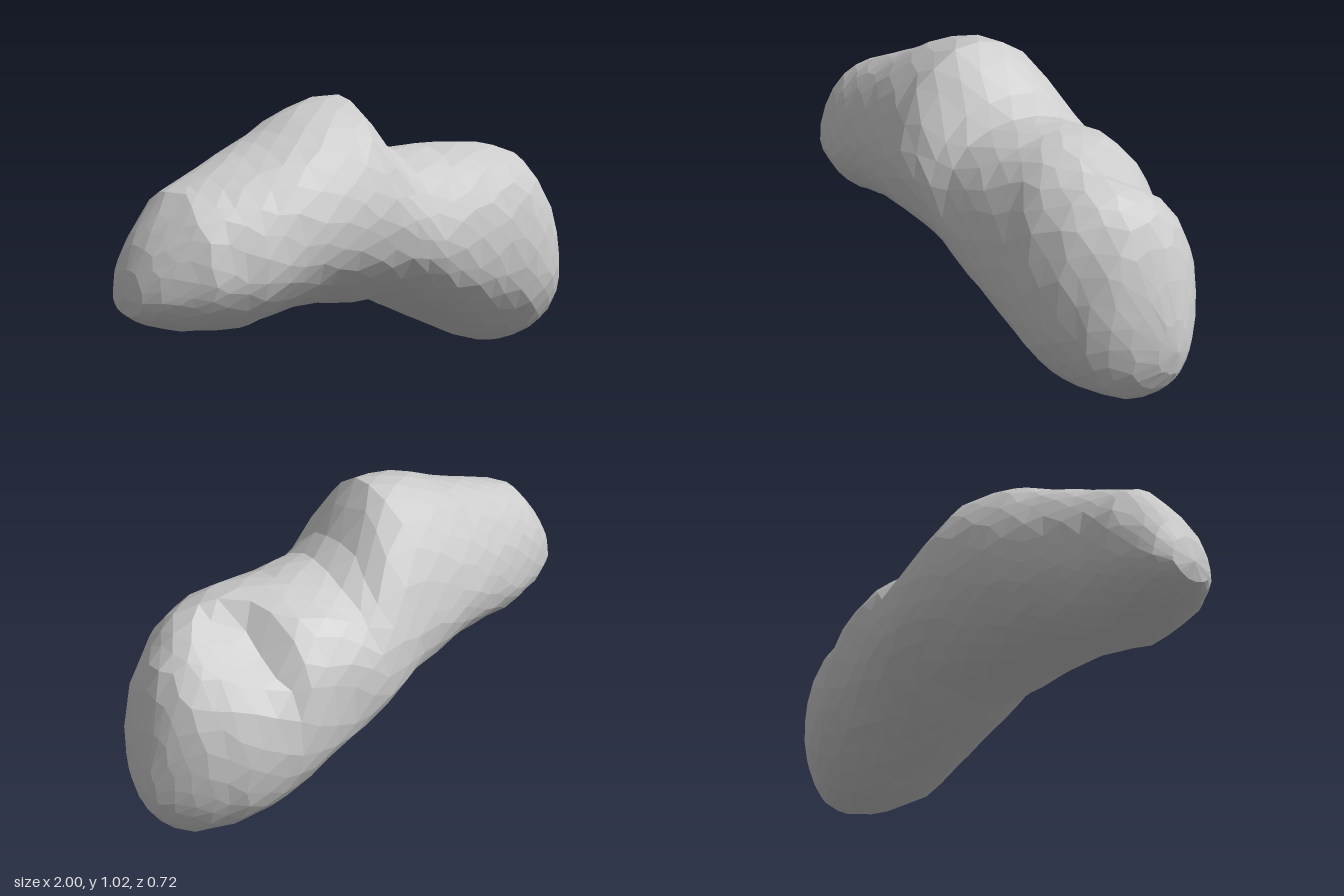
import * as THREE from 'three';

// Outline of the body along its length: x, top y, bottom y, back z, front z
const OUTLINE = [
  [-1.00, 0.42, 0.40, 0.00, 0.00],
  [-0.99, 0.49, 0.35, -0.08, 0.08],
  [-0.94, 0.60, 0.315, -0.15, 0.15],
  [-0.82, 0.745, 0.275, -0.21, 0.25],
  [-0.64, 0.82, 0.25, -0.25, 0.305],
  [-0.45, 0.90, 0.285, -0.29, 0.335],
  [-0.30, 0.98, 0.295, -0.32, 0.35],
  [-0.10, 1.04, 0.265, -0.345, 0.355],
  [-0.02, 0.99, 0.265, -0.35, 0.35],
  [0.08, 0.87, 0.265, -0.365, 0.34],
  [0.16, 0.81, 0.22, -0.365, 0.34],
  [0.48, 0.825, 0.07, -0.345, 0.35],
  [0.62, 0.805, 0.01, -0.32, 0.36],
  [0.74, 0.78, 0.00, -0.285, 0.335],
  [0.87, 0.69, 0.025, -0.20, 0.265],
  [0.93, 0.57, 0.075, -0.14, 0.20],
  [0.98, 0.40, 0.14, -0.07, 0.10],
  [1.00, 0.26, 0.25, 0.00, 0.00],
];
const RINGS = 31;
const SIDES = 24;

const bell = (x, centre, width) => Math.exp(-(((x - centre) / width) ** 2));

function outlineAt(x) {
  let k = 0;
  while (k < OUTLINE.length - 2 && OUTLINE[k + 1][0] < x) k++;
  const a = OUTLINE[k], b = OUTLINE[k + 1];
  const t = (x - a[0]) / (b[0] - a[0]);
  return a.map((v, i) => THREE.MathUtils.lerp(v, b[i], t));
}

// Seeded noise in the range -1 to 1
function makeNoise(seed) {
  let s = seed;
  return () => {
    s = (s * 16807) % 2147483647;
    return (s / 2147483647) * 2 - 1;
  };
}

function surfacePoint(x, angle) {
  const [, top, bottom, back, front] = outlineAt(x);
  const c = Math.cos(angle), s = Math.sin(angle);
  const belly = 0.43 - 0.06 * THREE.MathUtils.smoothstep(-x, 0.3, 1);
  const middle = THREE.MathUtils.lerp(bottom, top, belly);
  let z = c * (c > 0 ? front : -back);
  if (s <= 0) return [x, middle + s * (middle - bottom), z];

  // the hump is pointed, the neck has squarer shoulders, mostly at the back
  const shoulder = c > 0 ? 0.1 : 0.33;
  const exponent = 1 + 0.28 * bell(x, -0.14, 0.25) - shoulder * bell(x, 0.34, 0.2);
  const crest = 0.08 * bell(x, 0.62, 0.18);
  z += crest * s * s;
  let y = middle + Math.pow(s, exponent) * (top - middle);
  // sloping hollow cut into the upper back of the thick end
  if (x > 0.35 && z < crest) {
    const cut = 0.78 + (z - crest) * 0.55 + Math.max(0, 0.54 - x) * 1.3;
    y = Math.min(y, Math.max(cut, middle));
  }
  // the valley beside the hump runs at a slant
  return [x - 0.28 * z * s * bell(x, 0.06, 0.22), y, z];
}

function bodyGeometry() {
  const noise = makeNoise(71);
  const positions = [-1, 0.41, 0];
  for (let i = 0; i < RINGS; i++) {
    const t = (i + 0.5) / RINGS;
    const x = 0.45 * (2 * t - 1) - 0.55 * Math.cos(Math.PI * t);
    const [, top, bottom] = outlineAt(x);
    const axis = (top + bottom) / 2;
    const jitter = 0.014 * Math.min(1, (1 - Math.abs(x)) * 8);
    for (let j = 0; j < SIDES; j++) {
      const angle = ((j + (i % 2) / 2) / SIDES) * Math.PI * 2;
      const p = surfacePoint(x + noise() * jitter, angle + noise() * 0.045);
      const bump = 1 + noise() * 0.01;
      positions.push(p[0], Math.max(0, axis + (p[1] - axis) * bump), p[2] * bump);
    }
  }
  positions.push(1, 0.255, 0);

  // triangles between neighbouring rings, with a fan closing each end
  const last = RINGS * SIDES + 1;
  const at = (i, j) => 1 + i * SIDES + (j % SIDES);
  const index = [];
  for (let j = 0; j < SIDES; j++) {
    index.push(0, at(0, j), at(0, j + 1));
    index.push(last, at(RINGS - 1, j + 1), at(RINGS - 1, j));
    for (let i = 0; i < RINGS - 1; i++) {
      const a = at(i, j), b = at(i + 1, j), c = at(i, j + 1), d = at(i + 1, j + 1);
      if (i % 2) index.push(a, b, d, a, d, c);
      else index.push(a, b, c, c, b, d);
    }
  }
  const geometry = new THREE.BufferGeometry();
  geometry.setAttribute('position', new THREE.Float32BufferAttribute(positions, 3));
  geometry.setIndex(index);
  geometry.computeVertexNormals();
  return geometry;
}

export function createModel() {
  const group = new THREE.Group();
  group.name = 'asteroid';
  const material = new THREE.MeshStandardMaterial({ color: 0xcccccc, flatShading: true });
  const body = new THREE.Mesh(bodyGeometry(), material);
  body.name = 'rockBody';
  group.add(body);
  return group;
}
